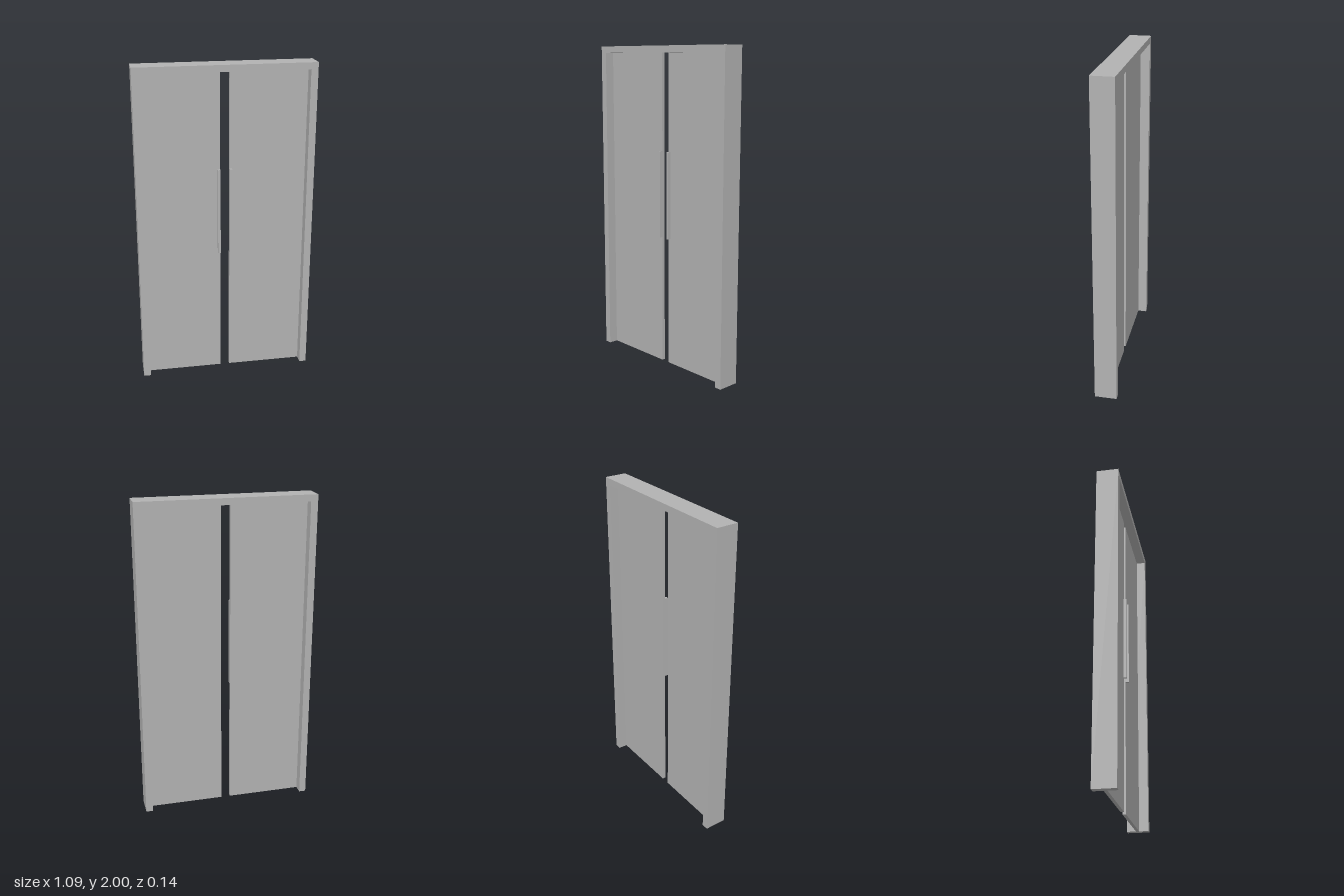
import * as THREE from 'three';

export function createModel() {
  const model = new THREE.Group();
  const grey = new THREE.MeshStandardMaterial({ color: 0xb2b2b2 });
  grey.name = 'grey';

  const halfWidth = 0.543, height = 2, depth = 0.137;
  const innerX = 0.5, innerTop = 1.96, gapX = 0.029, doorDepth = 0.02;

  const add = (name, geometry, x = 0, y = 0, z = 0) => {
    const mesh = new THREE.Mesh(geometry, grey);
    mesh.name = name;
    mesh.position.set(x, y, z);
    model.add(mesh);
  };

  // Door frame: an upside-down U with an open threshold
  const outline = new THREE.Shape([
    [-halfWidth, 0], [-innerX, 0], [-innerX, innerTop], [innerX, innerTop],
    [innerX, 0], [halfWidth, 0], [halfWidth, height], [-halfWidth, height],
  ].map(([x, y]) => new THREE.Vector2(x, y)));
  add('frame', new THREE.ExtrudeGeometry(outline, { depth, bevelEnabled: false }), 0, 0, -depth / 2);

  // Mirrored door leaves, each with a tall pull handle on the front at its free edge
  const handleWidth = 0.016, handleHeight = 0.545, handleDepth = 0.02;
  for (const [side, label] of [[1, 'left'], [-1, 'right']]) {
    add(label + 'Door', new THREE.BoxGeometry(innerX - gapX, innerTop, doorDepth),
      side * (innerX + gapX) / 2, innerTop / 2, 0);
    add(label + 'Handle', new THREE.BoxGeometry(handleWidth, handleHeight, handleDepth),
      side * (gapX + handleWidth / 2), 1.092, (doorDepth + handleDepth) / 2);
  }

  return model;
}
